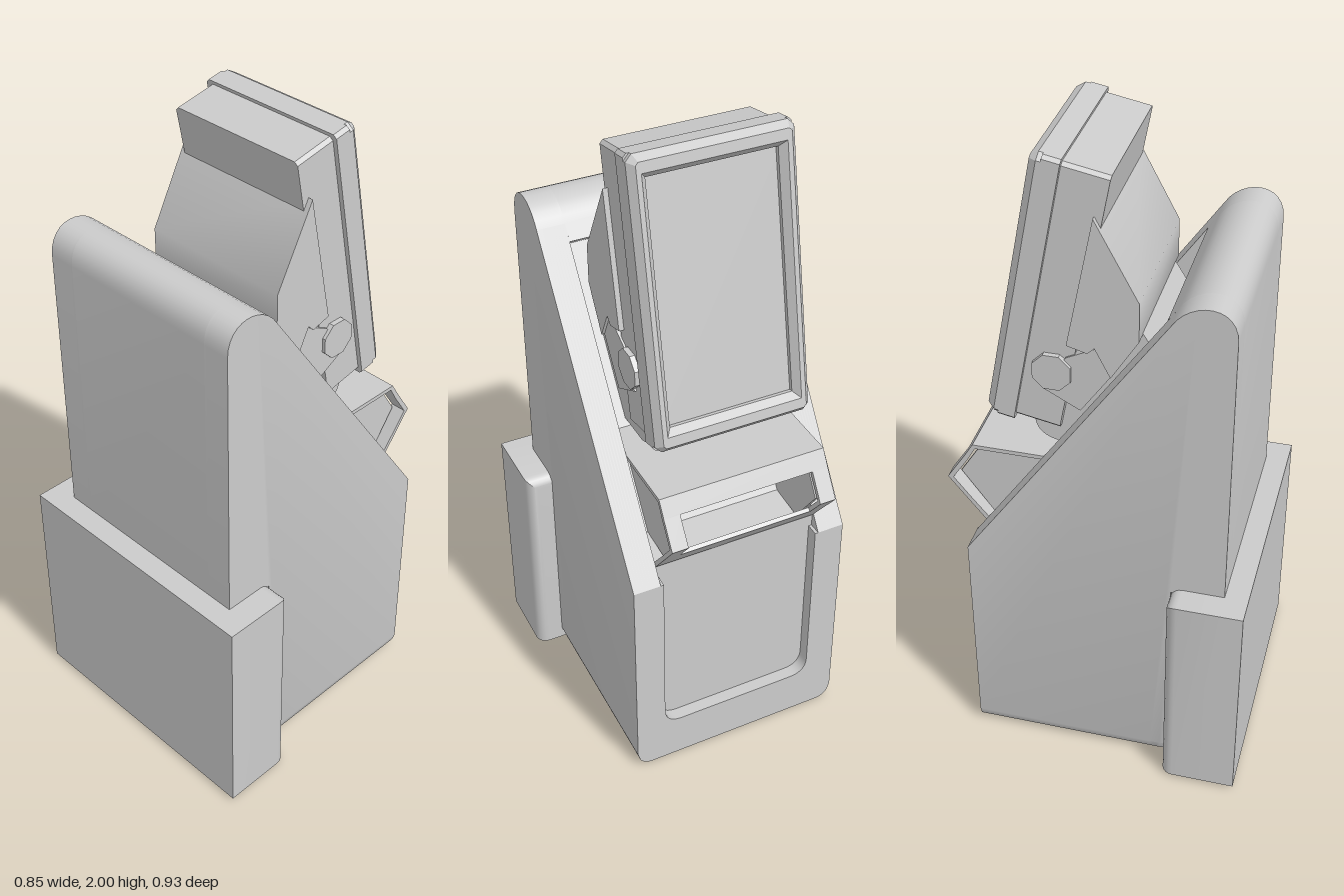
import * as THREE from 'three';
import { toCreasedNormals } from 'three/addons/utils/BufferGeometryUtils.js';

const grey = new THREE.MeshStandardMaterial({ color: 0xcccccc });
const V = (x, y) => new THREE.Vector2(x, y);

function add(parent, name, geometry) {
  const mesh = new THREE.Mesh(toCreasedNormals(geometry, 0.6), grey);
  mesh.name = name;
  parent.add(mesh);
  return mesh;
}

// Extrude a side profile of [z, y] points from x0 to x1
function slab(points, x0, x1, steps = 1) {
  const shape = new THREE.Shape(points.map(([z, y]) => V(-z, y)));
  const g = new THREE.ExtrudeGeometry(shape, { depth: x1 - x0, steps, bevelEnabled: false });
  return g.rotateY(Math.PI / 2).translate(x0, 0, 0);
}

// Sample a rounded corner between [z, y] points
function bend(a, b, c, d) {
  return new THREE.CubicBezierCurve(V(...a), V(...b), V(...c), V(...d))
    .getPoints(12).map(p => [p.x, p.y]);
}

function rectangle(hx, hy, cut = 0) {
  return [[-hx + cut, -hy], [hx - cut, -hy], [hx, -hy + cut], [hx, hy - cut],
    [hx - cut, hy], [-hx + cut, hy], [-hx, hy - cut], [-hx, -hy + cut]].map(p => V(...p));
}

// Move every vertex of a geometry by a rule
function reshape(g, rule) {
  const p = g.attributes.position, v = new THREE.Vector3();
  for (let i = 0; i < p.count; i++) {
    rule(v.fromBufferAttribute(p, i));
    p.setXYZ(i, v.x, v.y, v.z);
  }
  return g;
}

function makeBody() {
  const body = new THREE.Group();
  body.name = 'body';
  const W = 0.345, inner = 0.26, r = 0.05;
  const front = [
    ...bend([0.17, 0], [0.21, 0], [0.235, 0.025], [0.235, 0.065]),
    [0.235, 0.7], [0.395, 0.7],
    ...bend([0.395, 1.59], [0.395, 1.7], [0.27, 1.7], [0.22, 1.615])];

  // Side walls with rounded lower edges
  for (const s of [-1, 1]) {
    const g = slab([...front, [-0.385, 0.74], [-0.385, 0]],
      s > 0 ? inner : -W, s > 0 ? W : -inner, 10);
    reshape(g, v => {
      const d = Math.min(r, Math.max(0, Math.abs(v.x) - (W - r)));
      v.y = Math.max(v.y, r - Math.sqrt(r * r - d * d));
    });
    add(body, 'sideWall', g);
  }

  // Middle with the sunken slope and back panel
  add(body, 'core', slab([...front, [0.19, 1.572], [0.273, 1.515], [-0.218, 0.8],
    [-0.345, 0.78], [-0.345, 0]], -inner, inner));

  // Raised U-shaped rim around the back panel
  const rim = new THREE.Shape();
  rim.moveTo(-inner, 0).lineTo(inner, 0).lineTo(inner, 0.74).lineTo(0.25, 0.74).lineTo(0.25, 0.21);
  rim.quadraticCurveTo(0.25, 0.15, 0.19, 0.15).lineTo(-0.19, 0.15);
  rim.quadraticCurveTo(-0.25, 0.15, -0.25, 0.21).lineTo(-0.25, 0.74).lineTo(-inner, 0.74);
  add(body, 'backRim', new THREE.ExtrudeGeometry(rim, { depth: 0.045, bevelEnabled: false })
    .translate(0, 0, -0.385));
  return body;
}

// Front box, rounded on the top and side edges of its rear face
function makeFrontBox() {
  const b = 0.035, hx = 0.427, hy = 0.353;
  const g = new THREE.ExtrudeGeometry(new THREE.Shape(rectangle(hx - b, hy - b)), {
    depth: 0.16, bevelSize: b, bevelThickness: b, bevelSegments: 5 });
  reshape(g, v => {
    if (v.z > 0.08) {
      v.x = Math.sign(v.x) * hx;
      v.y = Math.sign(v.y) * hy;
    }
    if (v.y < 0) v.y = -hy;
  });
  return g.translate(0, 0.363, 0.27);
}

// Folded hood with a slot wrapped around its nose
function makeHood() {
  const hood = new THREE.Group();
  hood.name = 'hood';
  const outer = [[-0.04, 1.06], [-0.38, 1.06], [-0.41, 1.011], [-0.463, 0.93], [-0.41, 0.862], [-0.35, 0.785]];
  const inside = [[-0.04, 1.047], [-0.373, 1.047], [-0.398, 1.003], [-0.446, 0.93], [-0.4, 0.87], [-0.338, 0.793]];
  const strip = (a, b, x0, x1) => add(hood, 'hoodPanel',
    slab([...outer.slice(a, b + 1), ...inside.slice(a, b + 1).reverse()], x0, x1));
  strip(0, 2, -0.26, 0.26);
  strip(2, 4, -0.26, -0.21);
  strip(2, 4, 0.21, 0.26);
  strip(4, 5, -0.26, 0.26);
  for (const x of [-0.222, 0.21]) {
    add(hood, 'hoodCheek', slab([[-0.06, 1.035], [-0.367, 1.035], [-0.434, 0.93],
      [-0.335, 0.79], [-0.2, 0.8]], x, x + 0.012));
  }
  return hood;
}

// Tilted display, screen facing local -z
function makeDisplay() {
  const display = new THREE.Group();
  display.name = 'display';
  const b = 0.018;
  const frame = new THREE.Shape(rectangle(0.24 - b, 0.422 - b, 0.008));
  frame.holes.push(new THREE.Path(rectangle(0.19 + b, 0.355 + b).reverse()));
  add(display, 'bezel', new THREE.ExtrudeGeometry(frame, {
    depth: 0.02, bevelSize: b, bevelThickness: 0.022, bevelSegments: 1 }).translate(0, 0, 0.022));
  const plate = new THREE.Shape(rectangle(0.24, 0.422, 0.01));
  add(display, 'screenPlate', new THREE.ExtrudeGeometry(plate, { depth: 0.05, bevelEnabled: false })
    .translate(0, 0, 0.035));
  const shell = new THREE.Shape(rectangle(0.226, 0.412, 0.01));
  add(display, 'rearHousing', new THREE.ExtrudeGeometry(shell, { depth: 0.135, bevelEnabled: false })
    .translate(0, 0, 0.082));
  display.position.set(0, 1.5875, -0.26);
  display.rotation.x = 0.19;
  return display;
}

// Wedge, neck and hinges that carry the display
function makeMount() {
  const mount = new THREE.Group();
  mount.name = 'mount';
  add(mount, 'rearWedge', slab([[-0.015, 1.835], [0.11, 1.6], [0.11, 1.48], [0.03, 1.35],
    [-0.015, 1.44], [-0.035, 1.42], [-0.095, 1.437]], -0.241, 0.241));
  add(mount, 'neck', slab([[0.1, 1.5], [0.15, 1.42], [0.14, 1.3], [-0.02, 1.08],
    ...bend([-0.14, 1.08], [-0.18, 1.09], [-0.205, 1.11], [-0.205, 1.16]), [-0.1, 1.4]], -0.2, 0.2));
  for (const s of [-1, 1]) {
    add(mount, 'hingeArm', slab([[-0.01, 1.435], [0.03, 1.35], [-0.06, 1.22], [-0.17, 1.28], [-0.1, 1.39]],
      s > 0 ? 0.19 : -0.232, s > 0 ? 0.232 : -0.19));
    const knob = add(mount, 'hingeKnob', new THREE.CylinderGeometry(0.06, 0.06, 0.05, 8)
      .rotateY(Math.PI / 8).rotateZ(Math.PI / 2));
    knob.position.set(s * 0.217, 1.34, -0.14);
  }
  return mount;
}

export function createModel() {
  const model = new THREE.Group();
  model.name = 'displayStation';
  model.add(makeBody(), makeHood(), makeDisplay(), makeMount());
  add(model, 'frontBox', makeFrontBox());
  return model;
}
